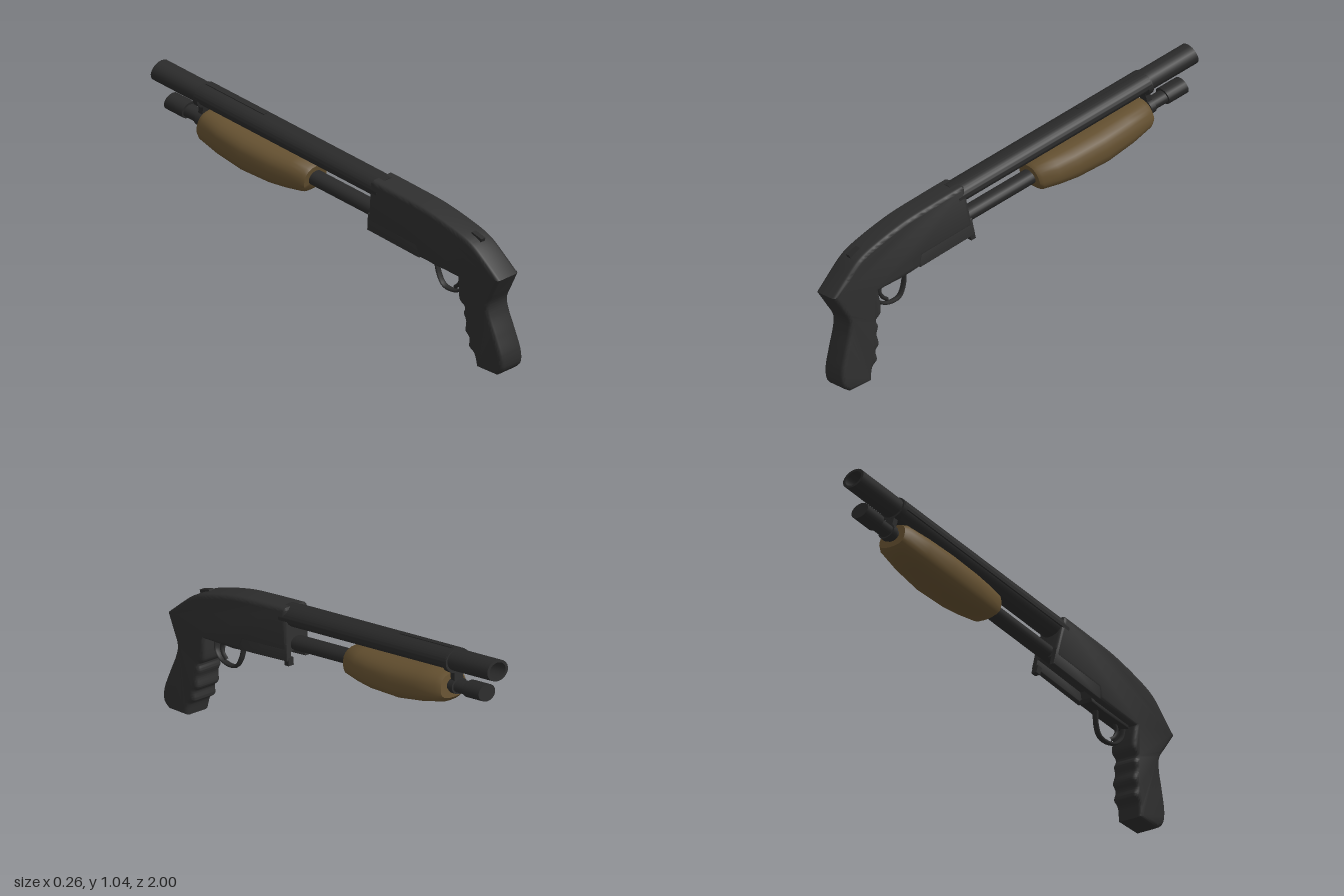
import * as THREE from 'three';
import { toCreasedNormals } from 'three/addons/utils/BufferGeometryUtils.js';

const mat = (name, color, side = THREE.FrontSide) => {
  const m = new THREE.MeshStandardMaterial({ color, side });
  m.name = name;
  return m;
};

export function createModel() {
  const polymer = mat('charcoal polymer', 0x2e2e2e);
  const steel = mat('dark steel', 0x292929);
  const shell = mat('dark steel sheet', 0x2a2a2a, THREE.DoubleSide);
  const tan = mat('tan forend', 0x645030);

  const add = (parent, name, geo, material, x = 0, y = 0, z = 0) => {
    const m = new THREE.Mesh(geo, material);
    m.name = name;
    m.position.set(x, y, z);
    parent.add(m);
    return m;
  };

  // Side profile given as (z, y), extruded across x
  const slab = (shape, halfWidth, bevel) => {
    const g = new THREE.ExtrudeGeometry(shape, {
      depth: 2 * (halfWidth - bevel), bevelEnabled: bevel > 0, bevelSize: bevel,
      bevelThickness: bevel, bevelOffset: -bevel, bevelSegments: 4, curveSegments: 8,
    });
    g.translate(0, 0, -(halfWidth - bevel));
    g.rotateY(-Math.PI / 2);
    return toCreasedNormals(g, 0.65);
  };
  const pts = (list) => list.map(([z, y]) => new THREE.Vector2(z, y));

  // Oval tube lying along z between two stations
  const WIDE = 1.28;
  const tube = (parent, name, r, z0, z1, y, material = steel) => {
    const g = new THREE.CylinderGeometry(r, r, Math.abs(z1 - z0), 20);
    g.rotateX(Math.PI / 2).scale(WIDE, 1, 1);
    return add(parent, name, g, material, 0, y, (z0 + z1) / 2);
  };

  const root = new THREE.Group();
  root.name = 'shotgun';
  const body = new THREE.Group();
  body.name = 'rolledBody';
  body.rotation.z = 0.105;
  body.position.set(0.063, 0.004, 0);
  root.add(body);

  // Receiver and pistol grip in one outline
  const outline = new THREE.Shape();
  outline.moveTo(0.245, 0.578);
  outline.lineTo(0.277, 0.765);
  outline.lineTo(0.29, 0.772);
  outline.splineThru(pts([[0.44, 0.738], [0.6, 0.698], [0.757, 0.64], [0.853, 0.591], [0.93, 0.52]]));
  outline.lineTo(0.998, 0.45);
  outline.splineThru(pts([[0.955, 0.38], [0.924, 0.324], [0.928, 0.27], [0.957, 0.18],
    [0.981, 0.094], [0.976, 0.035], [0.939, 0.006]]));
  outline.lineTo(0.826, 0.022);
  outline.splineThru(pts([[0.815, 0.08], [0.787, 0.11], [0.792, 0.15], [0.772, 0.18],
    [0.78, 0.225], [0.77, 0.26], [0.778, 0.29], [0.75, 0.325], [0.757, 0.42]]));
  outline.lineTo(0.53, 0.468);
  outline.lineTo(0.515, 0.515);
  outline.closePath();
  add(body, 'receiverAndGrip', slab(outline, 0.069, 0.02), polymer);

  // Rails either side of the loading port
  const rail = new THREE.Shape(pts([[0.238, 0.537], [0.25, 0.615], [0.54, 0.55], [0.535, 0.467]]));
  for (const s of [-1, 1]) add(body, 'loadingPortRail', slab(rail, 0.014, 0.004), polymer, s * 0.053);

  // Trigger, guard and small controls
  const bar = (list, r) => new THREE.TubeGeometry(
    new THREE.CatmullRomCurve3(list.map(([z, y]) => new THREE.Vector3(0, y, z))), 24, r, 8);
  const guard = bar([[0.75, 0.425], [0.74, 0.365], [0.705, 0.332], [0.655, 0.324],
    [0.61, 0.338], [0.585, 0.385], [0.575, 0.45]], 0.008).scale(2, 1, 1);
  add(body, 'triggerGuard', guard, steel);
  add(body, 'trigger', bar([[0.69, 0.44], [0.712, 0.39], [0.7, 0.36], [0.675, 0.34]], 0.009), steel);
  const plate = new THREE.Shape(pts([[0.51, 0.475], [0.515, 0.458], [0.6, 0.435], [0.75, 0.41], [0.75, 0.44]]));
  add(body, 'triggerPlate', slab(plate, 0.035, 0.003), steel);
  add(body, 'safetyButton', new THREE.BoxGeometry(0.025, 0.016, 0.06), steel, 0, 0.605, 0.835).rotation.x = 0.4;
  add(body, 'releaseLever', new THREE.BoxGeometry(0.03, 0.035, 0.025), steel, 0.045, 0.53, 0.248).rotation.x = 0.218;

  // Everything in line with the bore
  const bore = new THREE.Group();
  bore.name = 'boreLine';
  bore.position.y = 0.786;
  bore.rotation.x = 0.218;
  body.add(bore);

  // Hollow barrel with a visible bore
  const barrel = new THREE.LatheGeometry(pts([[0.036, 0.85], [0.036, 1.011], [0.047, 1.011], [0.047, -0.35]].reverse()), 20);
  barrel.rotateX(-Math.PI / 2).scale(WIDE, 1, 1);
  add(bore, 'barrel', toCreasedNormals(barrel, 0.6), shell);
  tube(bore, 'borePlug', 0.037, -0.85, -0.84, 0);

  // Sheet shield over the upper half of the barrel
  const shield = new THREE.Shape();
  shield.absellipse(0, 0, 0.07, 0.052, -0.15, Math.PI + 0.15, false);
  shield.absellipse(0, 0, 0.058, 0.044, Math.PI + 0.15, -0.15, true);
  shield.closePath();
  const shieldGeo = new THREE.ExtrudeGeometry(shield, { depth: 1.07, bevelEnabled: false, curveSegments: 20 });
  add(bore, 'barrelShield', toCreasedNormals(shieldGeo, 0.6), steel, 0, 0, -0.75);
  add(bore, 'topRib', new THREE.BoxGeometry(0.022, 0.008, 0.34), steel, 0, 0.051, -0.57);

  // Magazine tube, cap and front clamp
  tube(bore, 'magazineTube', 0.033, 0.35, -0.7, -0.121);
  tube(bore, 'magazineNeck', 0.029, -0.7, -0.83, -0.118);
  tube(bore, 'magazineCap', 0.038, -0.825, -0.93, -0.116);
  tube(bore, 'barrelClamp', 0.055, -0.73, -0.755, -0.003);
  tube(bore, 'tubeClamp', 0.036, -0.73, -0.755, -0.118);
  add(bore, 'clampBridge', new THREE.BoxGeometry(0.05, 0.08, 0.025), steel, 0, -0.07, -0.742);

  // Swollen forend: [station, half width, top, bottom]
  const mid = -0.135;
  const sections = [[-0.085, 0, mid, mid], [-0.085, 0.072, -0.065, -0.165], [-0.1, 0.084, -0.055, -0.185],
    [-0.18, 0.1, -0.053, -0.203], [-0.27, 0.112, -0.053, -0.217], [-0.43, 0.118, -0.053, -0.225],
    [-0.58, 0.106, -0.053, -0.212], [-0.69, 0.088, -0.055, -0.194], [-0.714, 0.074, -0.065, -0.175],
    [-0.714, 0, mid, mid]];
  const N = 24, pos = [], idx = [];
  const soft = (v) => Math.sign(v) * Math.abs(v) ** 0.8;
  sections.forEach(([z, hw, top, bottom], j) => {
    for (let i = 0; i < N; i++) {
      const a = (i / N) * Math.PI * 2, s = soft(Math.sin(a));
      pos.push(hw * soft(Math.cos(a)), mid + s * (s > 0 ? top - mid : mid - bottom), z);
      if (j === sections.length - 1) continue;
      const A = j * N + i, B = j * N + (i + 1) % N;
      idx.push(A, A + N, B, B, A + N, B + N);
    }
  });
  const forend = new THREE.BufferGeometry();
  forend.setAttribute('position', new THREE.Float32BufferAttribute(pos, 3));
  forend.setIndex(idx);
  add(bore, 'forend', toCreasedNormals(forend, 0.8), tan);

  return root;
}
